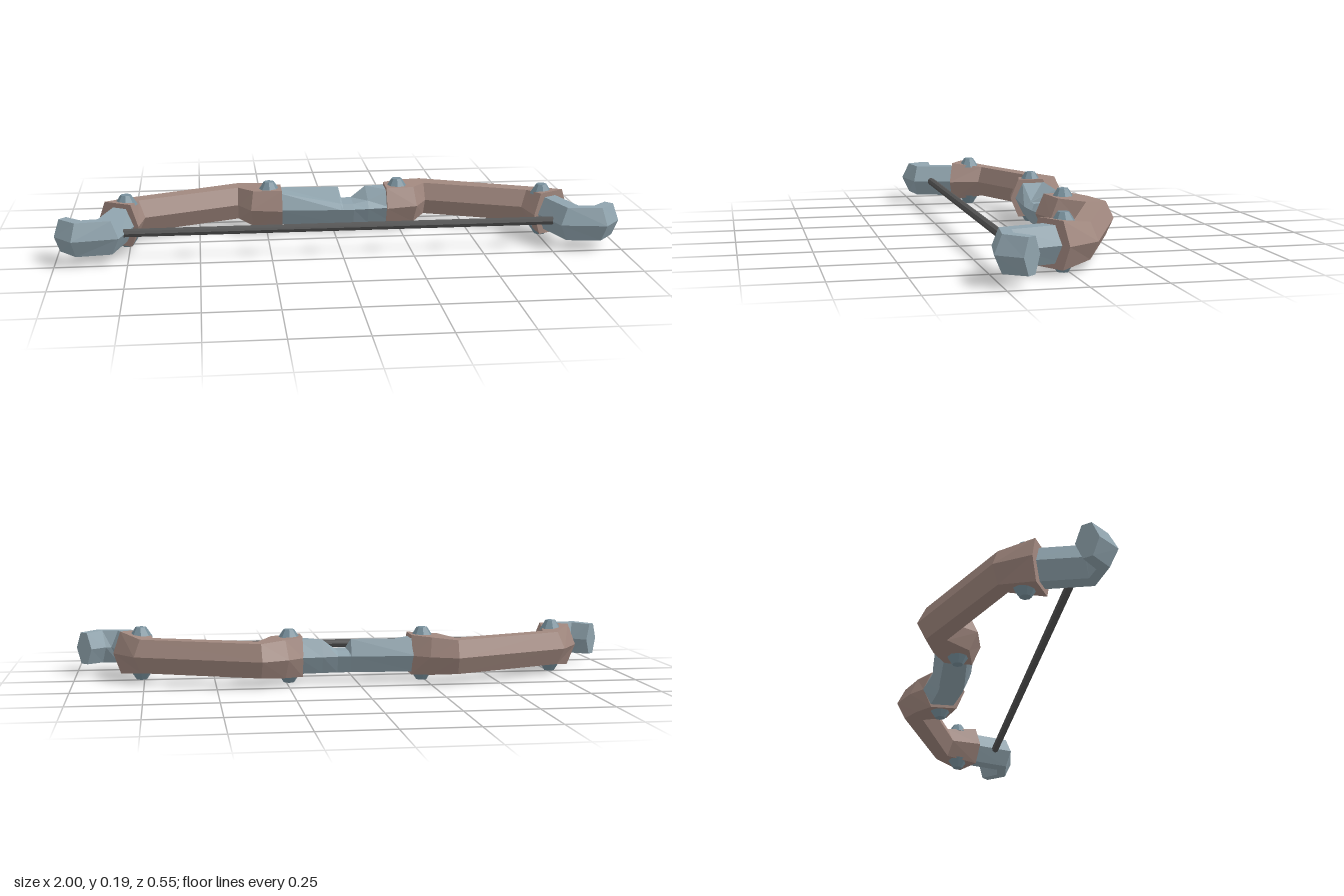
import * as THREE from 'three';

const MID = 0.095; // height of the side ridges

const material = (color) => new THREE.MeshStandardMaterial({ color, flatShading: true });

// Closed solid through a row of rings with equal point counts; faces are turned outward.
function loft(rings) {
  const n = rings[0].length;
  const tris = [];
  for (let s = 0; s < rings.length - 1; s++) {
    for (let i = 0; i < n; i++) {
      const j = (i + 1) % n;
      const [a, b, c, d] = [rings[s][i], rings[s][j], rings[s + 1][j], rings[s + 1][i]];
      tris.push([a, b, c], [a, c, d]);
    }
  }
  const first = rings[0], last = rings[rings.length - 1];
  for (let i = 1; i < n - 1; i++) {
    tris.push([first[0], first[i + 1], first[i]], [last[0], last[i], last[i + 1]]);
  }
  let volume = 0;
  for (const [a, b, c] of tris) volume += a.dot(b.clone().cross(c));
  const points = tris.flatMap(([a, b, c]) => (volume < 0 ? [a, c, b] : [a, b, c]));
  const geometry = new THREE.BufferGeometry().setFromPoints(points);
  geometry.computeVertexNormals();
  return geometry;
}

// Six-sided ring: a ridge on each side, flat top and bottom.
// backTop / frontTop can lower the two upper corners.
function ring([ox, oz], [ix, iz], half, inset = 0.03, backTop = half, frontTop = half) {
  const o = new THREE.Vector3(ox, MID, oz);
  const i = new THREE.Vector3(ix, MID, iz);
  const step = i.clone().sub(o).setLength(inset);
  const corner = (p, sign, h) => {
    const v = p.clone().addScaledVector(step, sign);
    v.y += h;
    return v;
  };
  return [o, corner(o, 1, backTop), corner(i, -1, frontTop), i, corner(i, -1, -half), corner(o, 1, -half)];
}

export function createModel() {
  const bow = new THREE.Group();
  bow.name = 'bow';
  const wood = material(0xa1887f);
  const metal = material(0x90a4ae);
  const rivetMetal = material(0x78909c);
  const cord = material(0x555555);

  const add = (name, geometry, mat, parent = bow) => {
    const mesh = new THREE.Mesh(geometry, mat);
    mesh.name = name;
    parent.add(mesh);
    return mesh;
  };

  // Grip with the arrow rest cut into its upper side
  const H = 0.06;
  add('grip', loft([
    ring([-0.21, -0.195], [-0.21, -0.055], H),
    ring([0.022, -0.178], [0.022, -0.036], H, 0.025, H, 0.018),
    ring([0.03, -0.175], [0.03, -0.036], H, 0.025, 0.018, 0.016),
    ring([0.07, -0.175], [0.07, -0.036], H, 0.025, 0.018, 0.016),
    ring([0.125, -0.183], [0.125, -0.04], H, 0.028, H, 0.025),
    ring([0.21, -0.195], [0.21, -0.05], H),
  ]), metal);

  for (const side of [1, -1]) {
    const half = new THREE.Group();
    half.name = side > 0 ? 'leftHalf' : 'rightHalf';
    bow.add(half);
    const section = (o, i, ...rest) => ring([o[0] * side, o[1]], [i[0] * side, i[1]], ...rest);

    // Limb, flared into a socket at both ends
    add('limb', loft([
      section([0.195, -0.192], [0.195, -0.035], 0.071),
      section([0.25, -0.237], [0.31, -0.062], 0.067),
      section([0.345, -0.277], [0.355, -0.145], 0.06),
      section([0.785, -0.09], [0.695, -0.01], 0.06),
      section([0.86, 0.022], [0.715, 0.107], 0.077),
    ]), wood, half);

    // Hooked tip
    add('hook', loft([
      section([0.825, 0.02], [0.72, 0.06], H),
      section([0.873, 0.185], [0.777, 0.248], H),
      section([0.893, 0.183], [0.937, 0.275], H),
      section([0.943, 0.137], [1.0, 0.2], 0.058, 0.025),
    ]), metal, half);

    // Rivets above and below each joint
    for (const [x, z] of [[0.24, -0.122], [0.76, 0.018]]) {
      for (const up of [1, -1]) {
        const rivet = add('rivet', new THREE.CylinderGeometry(0.019, 0.042, 0.035, 8), rivetMetal, half);
        rivet.position.set(x * side, MID + up * 0.0775, z);
        if (up < 0) rivet.rotation.x = Math.PI;
      }
    }
  }

  // Bowstring between the hooks
  const string = add('string', new THREE.CylinderGeometry(0.015, 0.015, 1.54, 8), cord);
  string.rotation.z = Math.PI / 2;
  string.position.set(0, MID, 0.178);

  return bow;
}
